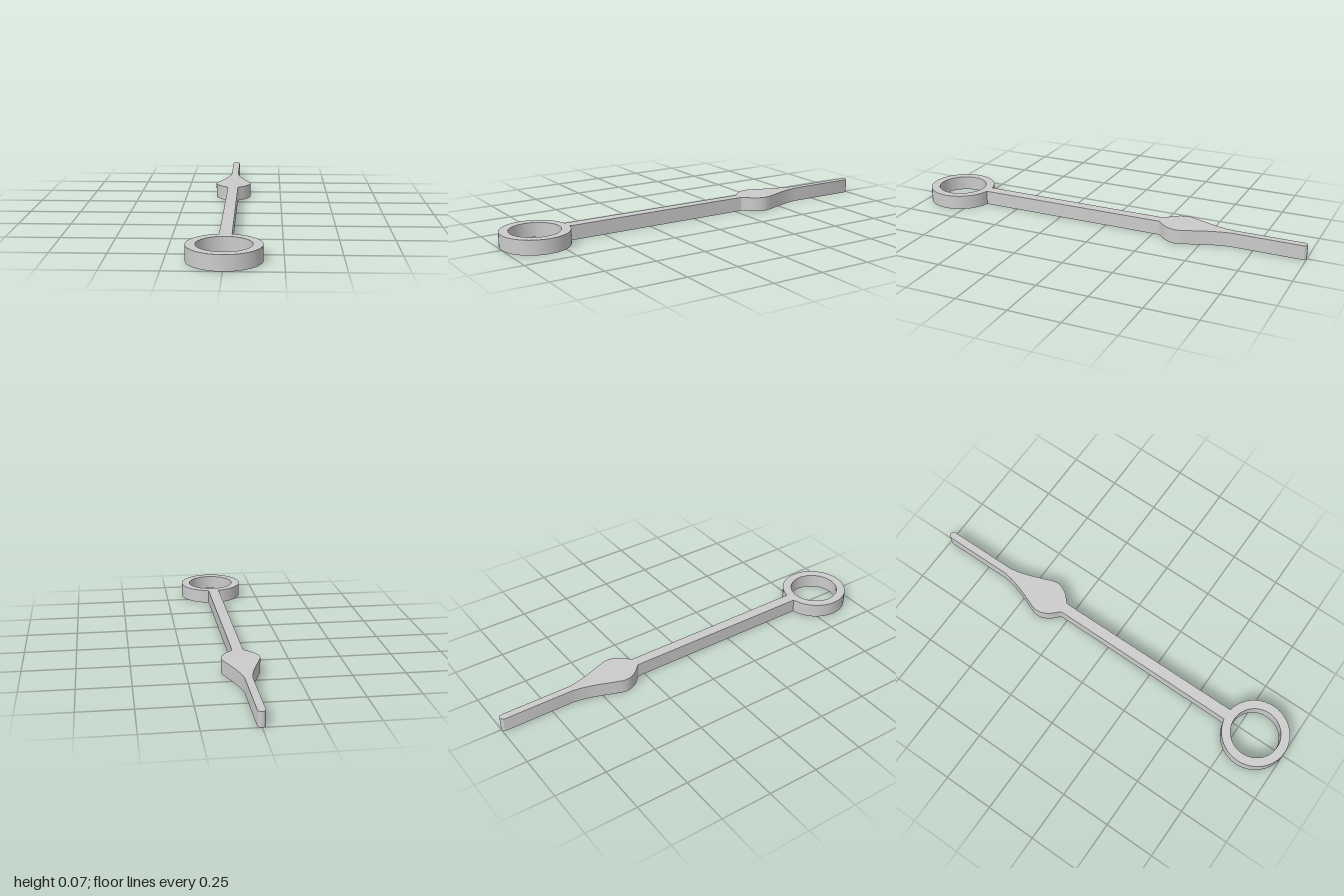
import * as THREE from 'three';
import { toCreasedNormals } from 'three/addons/utils/BufferGeometryUtils.js';

const THICKNESS = 0.07;
const RING = { y: -0.837, outer: 0.163, inner: 0.12 };
const SHAFT = 0.028; // half widths
const NECK = 0.026;
const TIP = 0.018;

// Outline of the whole hand, lying flat with the tip towards +y
function handShape() {
  const shape = new THREE.Shape();

  // Ring, open where the shaft joins it
  const join = Math.acos(SHAFT / RING.outer);
  shape.absarc(0, RING.y, RING.outer, Math.PI - join, Math.PI * 2 + join, false);

  // Right side: shaft, rounded shoulder of the spade, concave taper
  shape.lineTo(NECK, 0.283);
  shape.bezierCurveTo(0.034, 0.298, 0.056, 0.308, 0.072, 0.335);
  shape.bezierCurveTo(0.088, 0.358, 0.094, 0.385, 0.087, 0.41);
  shape.bezierCurveTo(0.062, 0.485, 0.028, 0.55, TIP, 0.64);

  // Rounded tip
  shape.lineTo(TIP, 1 - TIP);
  shape.absarc(0, 1 - TIP, TIP, 0, Math.PI, false);

  // Left side, mirrored
  shape.lineTo(-TIP, 0.64);
  shape.bezierCurveTo(-0.028, 0.55, -0.062, 0.485, -0.087, 0.41);
  shape.bezierCurveTo(-0.094, 0.385, -0.088, 0.358, -0.072, 0.335);
  shape.bezierCurveTo(-0.056, 0.308, -0.034, 0.298, -NECK, 0.283);
  shape.closePath();

  // Mounting hole
  const hole = new THREE.Path();
  hole.absarc(0, RING.y, RING.inner, 0, Math.PI * 2, true);
  shape.holes.push(hole);
  return shape;
}

export function createModel() {
  const group = new THREE.Group();
  group.name = 'clockHand';

  const extruded = new THREE.ExtrudeGeometry(handShape(), {
    depth: THICKNESS, bevelEnabled: false, curveSegments: 24,
  });
  extruded.rotateX(-Math.PI / 2); // lay flat, tip to the back

  const hand = new THREE.Mesh(
    toCreasedNormals(extruded, 0.5),
    new THREE.MeshStandardMaterial({ color: 0xcccccc }),
  );
  hand.name = 'spadeHand';
  group.add(hand);
  return group;
}
